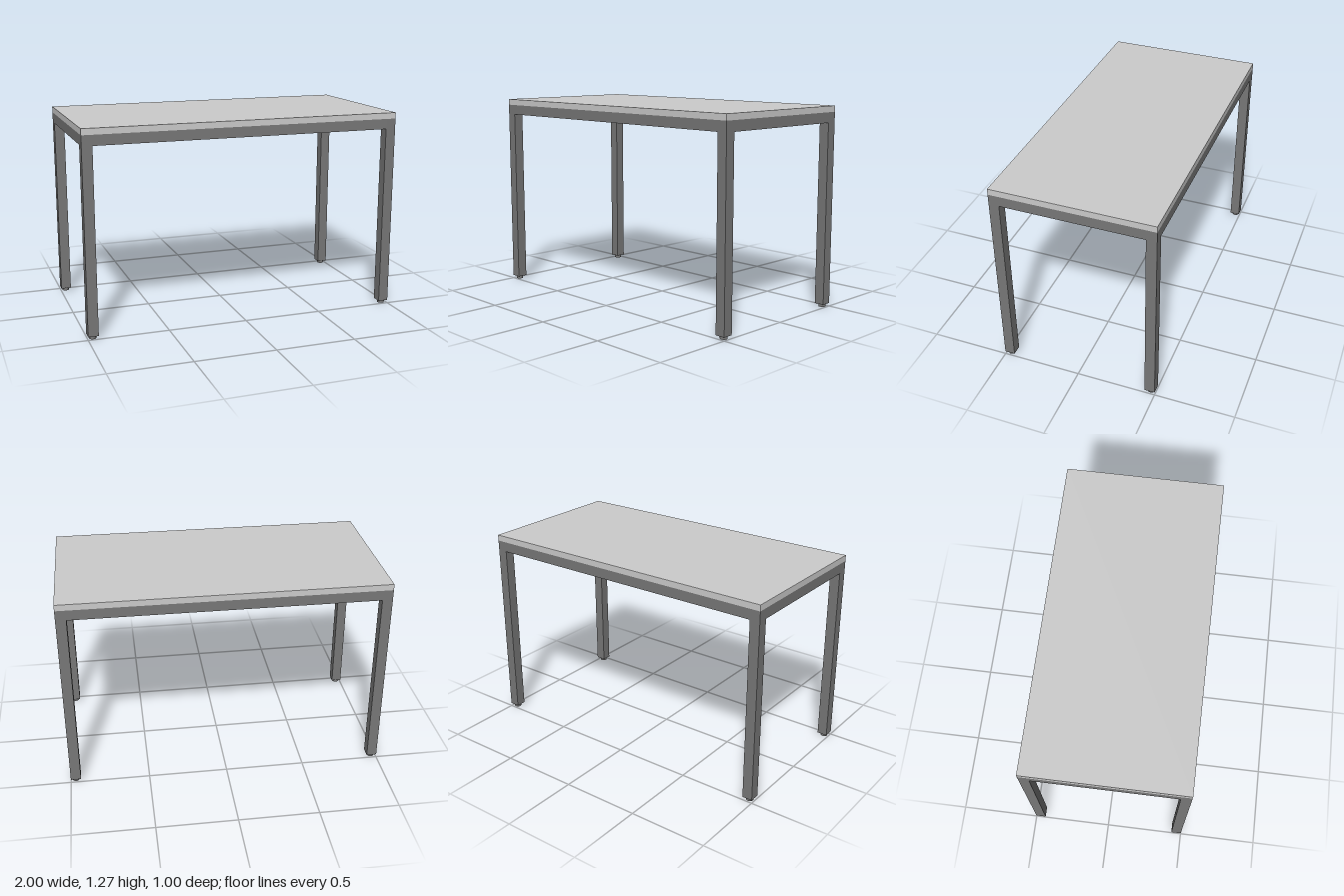
import * as THREE from 'three';

const LENGTH = 2, DEPTH = 1, TUBE = 0.064;
const TOP = 1.267, FRAME_TOP = 1.229, LEG_BOTTOM = 0.03, FOOT_HEIGHT = 0.02;

export function createModel() {
  const model = new THREE.Group();
  model.name = 'table';
  const topMaterial = new THREE.MeshStandardMaterial({ color: 0xcccccc });
  const frameMaterial = new THREE.MeshStandardMaterial({ color: 0x777777 });

  const add = (parent, name, geometry, material, x, y, z) => {
    const mesh = new THREE.Mesh(geometry, material);
    mesh.name = name;
    mesh.position.set(x, y, z);
    parent.add(mesh);
  };

  // Table top
  const topThickness = TOP - FRAME_TOP;
  add(model, 'tableTop', new THREE.BoxGeometry(LENGTH, topThickness, DEPTH), topMaterial,
    0, FRAME_TOP + topThickness / 2, 0);

  // Square-tube rails, flush with the outer faces of the legs
  const legX = (LENGTH - TUBE) / 2, legZ = (DEPTH - TUBE) / 2;
  const railY = FRAME_TOP - TUBE / 2;
  const longRail = new THREE.BoxGeometry(LENGTH - 2 * TUBE, TUBE, TUBE);
  const shortRail = new THREE.BoxGeometry(TUBE, TUBE, DEPTH - 2 * TUBE);
  for (const [s, longName, shortName] of [[1, 'frontRail', 'leftRail'], [-1, 'backRail', 'rightRail']]) {
    add(model, longName, longRail, frameMaterial, 0, railY, s * legZ);
    add(model, shortName, shortRail, frameMaterial, s * legX, railY, 0);
  }

  // Legs, each with an end cap and a round levelling foot
  const legHeight = FRAME_TOP - LEG_BOTTOM, capHeight = LEG_BOTTOM - FOOT_HEIGHT;
  const legGeometry = new THREE.BoxGeometry(TUBE, legHeight, TUBE);
  const capGeometry = new THREE.BoxGeometry(TUBE, capHeight, TUBE);
  const footGeometry = new THREE.CylinderGeometry(0.022, 0.022, FOOT_HEIGHT, 24);
  for (const [sz, depthName] of [[1, 'front'], [-1, 'back']]) {
    for (const [sx, sideName] of [[1, 'Left'], [-1, 'Right']]) {
      const leg = new THREE.Group();
      leg.name = `${depthName}${sideName}Leg`;
      leg.position.set(sx * legX, 0, sz * legZ);
      add(leg, 'legTube', legGeometry, frameMaterial, 0, LEG_BOTTOM + legHeight / 2, 0);
      add(leg, 'endCap', capGeometry, frameMaterial, 0, FOOT_HEIGHT + capHeight / 2, 0);
      add(leg, 'foot', footGeometry, frameMaterial, 0, FOOT_HEIGHT / 2, 0);
      model.add(leg);
    }
  }
  return model;
}
